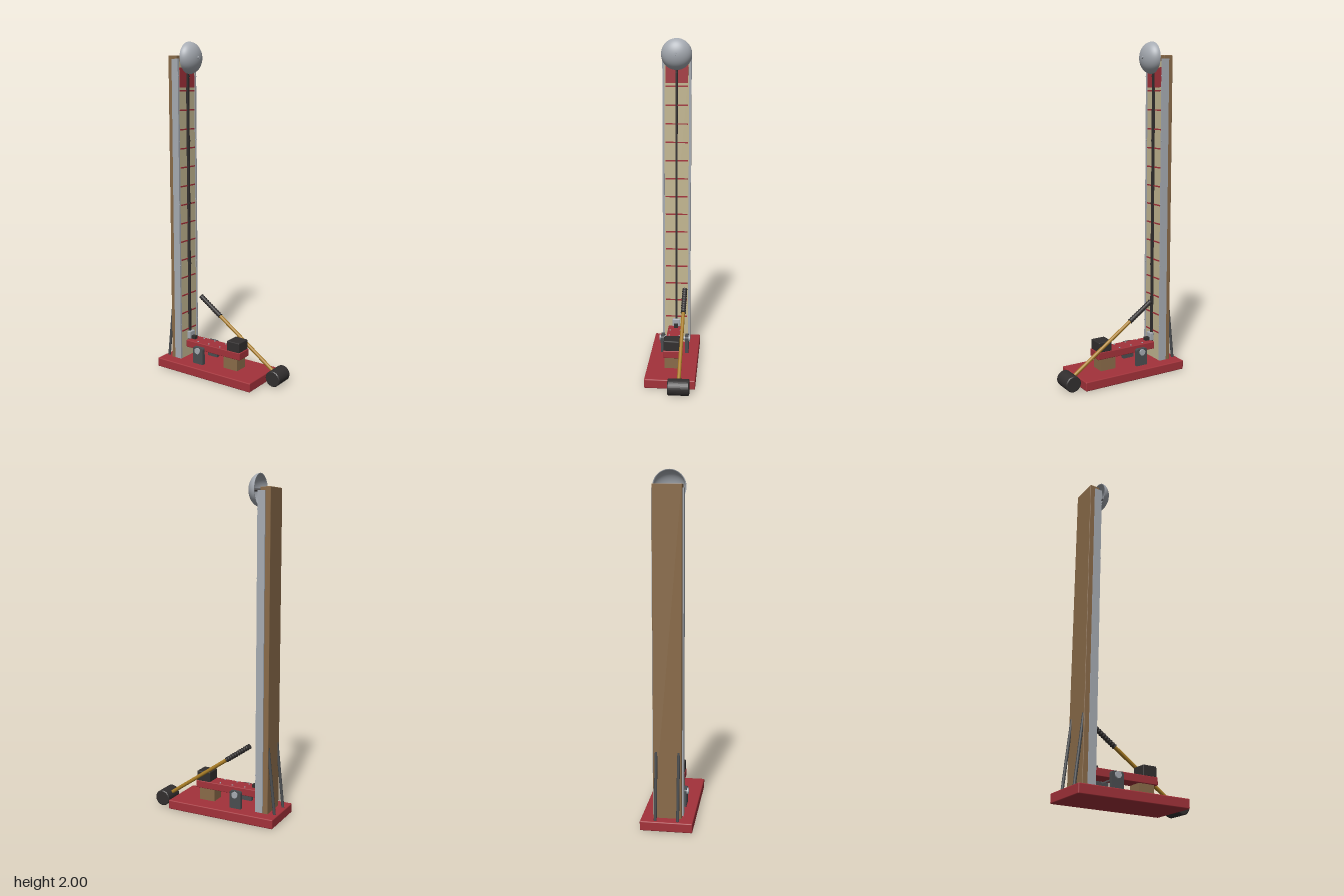
import * as THREE from 'three';
import { RoundedBoxGeometry } from 'three/addons/geometries/RoundedBoxGeometry.js';

const paint = (color, side = THREE.FrontSide) => {
  const m = new THREE.MeshStandardMaterial({ side });
  m.color.set(color);
  return m;
};

export function createModel() {
  const model = new THREE.Group();
  model.name = 'strengthTester';
  const red = paint(0xa3323a), wood = paint(0x8a6b49), cream = paint(0xc4b892);
  const steel = paint(0xa6abb2), bellSteel = paint(0xa6abb2, THREE.DoubleSide);
  const dark = paint(0x322f2f), iron = paint(0x4a4d50), gold = paint(0xa87c26);

  const add = (name, geometry, material, x = 0, y = 0, z = 0, parent = model) => {
    const mesh = new THREE.Mesh(geometry, material);
    mesh.name = name;
    mesh.position.set(x, y, z);
    parent.add(mesh);
    return mesh;
  };
  // Box given by its limits on each axis
  const box = (name, mat, [x0, x1], [y0, y1], [z0, z1], r = 0) => {
    const s = [x1 - x0, y1 - y0, z1 - z0];
    const g = r ? new RoundedBoxGeometry(...s, 2, r) : new THREE.BoxGeometry(...s);
    return add(name, g, mat, (x0 + x1) / 2, (y0 + y1) / 2, (z0 + z1) / 2);
  };
  // Cylinder between two points
  const rod = (name, mat, a, b, r, seg = 20) => {
    const p = new THREE.Vector3(...a), d = new THREE.Vector3(...b).sub(p);
    const mesh = add(name, new THREE.CylinderGeometry(r, r, d.length(), seg), mat);
    mesh.position.copy(p).addScaledVector(d, 0.5);
    mesh.quaternion.setFromUnitVectors(new THREE.Vector3(0, 1, 0), d.normalize());
    return mesh;
  };

  // Base and tower
  box('base', red, [-0.15, 0.15], [0, 0.056], [-0.4, 0.29], 0.006);
  box('towerPost', wood, [-0.081, 0.081], [0.05, 1.92], [-0.34, -0.278], 0.003);
  box('scalePanel', cream, [-0.076, 0.076], [0.056, 1.885], [-0.28, -0.268]);
  box('topPanel', red, [-0.069, 0.069], [1.735, 1.85], [-0.27, -0.264]);
  for (let i = 0; i < 14; i++) {
    const y = 0.235 + i * 0.1139;
    box('scaleMark', red, [-0.069, 0.069], [y - 0.004, y + 0.004], [-0.27, -0.264]);
  }

  // Angled side rails with screws, and rear braces
  for (const s of [-1, 1]) {
    const section = new THREE.Shape();
    [[0.081, 0.31], [0.088, 0.31], [0.088, 0.264], [0.075, 0.264], [0.075, 0.269], [0.081, 0.269]]
      .forEach(([x, z], i) => i ? section.lineTo(s * x, z) : section.moveTo(s * x, z));
    const rail = new THREE.ExtrudeGeometry(section, { depth: 1.84, bevelEnabled: false });
    rail.rotateX(-Math.PI / 2);
    add('sideRail', rail, steel, 0, 0.06, 0);
    for (let i = 0; i < 5; i++) {
      const y = 0.28 + i * 0.38;
      rod('railScrew', steel, [s * 0.081, y, -0.266], [s * 0.081, y, -0.26], 0.004, 10);
    }
    rod('rearBrace', iron, [s * 0.064, 0.45, -0.334], [s * 0.064, 0.05, -0.377], 0.0085, 14);
  }

  // Guide track and sliding puck
  box('guideTrack', dark, [-0.006, 0.006], [0.115, 1.85], [-0.268, -0.253]);
  for (const y of [0.66, 1.04, 1.42, 1.8])
    box('trackClip', dark, [-0.006, 0.006], [y - 0.005, y + 0.005], [-0.255, -0.248]);
  box('puck', steel, [-0.024, 0.024], [0.175, 0.222], [-0.263, -0.238], 0.003);
  box('puckCore', dark, [-0.013, 0.013], [0.165, 0.195], [-0.262, -0.21]);

  // Bell: hollow dome opening to the rear
  const profile = [];
  for (let i = 0; i <= 16; i++) {
    const a = i / 16 * Math.PI / 2;
    profile.push(new THREE.Vector2(0.0935 * Math.cos(a), 0.065 * Math.sin(a)));
  }
  for (let i = 16; i >= 0; i--) {
    const a = i / 16 * Math.PI / 2;
    profile.push(new THREE.Vector2(0.088 * Math.cos(a), 0.06 * Math.sin(a)));
  }
  profile.push(profile[0].clone());
  profile.forEach(p => { p.x = Math.max(0, p.x); });
  add('bell', new THREE.LatheGeometry(profile, 48), bellSteel, 0, 1.9065, -0.246).rotation.x = Math.PI / 2;
  rod('bellSpindle', dark, [0, 1.9065, -0.285], [0, 1.9065, -0.185], 0.008);
  rod('bellNut', steel, [0, 1.9065, -0.185], [0, 1.9065, -0.173], 0.009, 6);

  // Lever, strike pad and support block
  box('lever', red, [-0.05, 0.05], [0.13, 0.175], [-0.25, 0.152], 0.004);
  box('strikePad', dark, [-0.047, 0.047], [0.172, 0.235], [0.057, 0.146], 0.005);
  box('supportBlock', wood, [-0.043, 0.043], [0.05, 0.132], [0.03, 0.13]);
  for (const x of [-0.032, 0.032])
    for (const z of [-0.17, -0.088, -0.006])
      rod('leverBolt', steel, [x, 0.172, z], [x, 0.179, z], 0.005, 12);

  // Pivot brackets with rounded tops, and the axle
  for (const s of [-1, 1]) {
    const plate = new THREE.Shape();
    plate.moveTo(-0.037, 0.05);
    plate.lineTo(0.037, 0.05);
    plate.lineTo(0.037, 0.148);
    plate.quadraticCurveTo(0.037, 0.162, 0.023, 0.162);
    plate.lineTo(-0.023, 0.162);
    plate.quadraticCurveTo(-0.037, 0.162, -0.037, 0.148);
    const g = new THREE.ExtrudeGeometry(plate, { depth: 0.022, bevelEnabled: false });
    g.translate(0, 0, -0.011);
    add('pivotBracket', g, iron, s * 0.0765, 0, -0.132).rotation.y = Math.PI / 2;
    rod('axleCap', steel, [s * 0.08, 0.141, -0.132], [s * 0.097, 0.141, -0.132], 0.019, 24);
  }
  rod('pivotAxle', steel, [-0.085, 0.141, -0.132], [0.085, 0.141, -0.132], 0.014, 24);

  // Mallet leaning across the lever
  const at = z => [0.057, 0.048 + (0.355 - z) * 0.692, z];
  const headProfile = [[0, -0.0625], [0.043, -0.0625], [0.0475, -0.058], [0.0475, 0.058], [0.043, 0.0625], [0, 0.0625]];
  const head = new THREE.LatheGeometry(headProfile.map(p => new THREE.Vector2(...p)), 36);
  const headMat = dark.clone();
  headMat.flatShading = true;
  add('malletHead', head, headMat, 0.0575, 0.0475, 0.354).rotation.z = Math.PI / 2;
  rod('malletHandle', gold, at(0.35), at(-0.2), 0.011);
  // Ribbed grip
  const start = new THREE.Vector3(...at(-0.064)), end = new THREE.Vector3(...at(-0.212));
  const dir = end.clone().sub(start), length = dir.length();
  const ribs = [new THREE.Vector2(0, 0)];
  for (let i = 0; i <= 40; i++)
    ribs.push(new THREE.Vector2(0.0145 + 0.0018 * Math.cos(i * Math.PI / 2), i / 40 * length));
  ribs.push(new THREE.Vector2(0, length));
  const grip = add('malletGrip', new THREE.LatheGeometry(ribs, 20), dark);
  grip.position.copy(start);
  grip.quaternion.setFromUnitVectors(new THREE.Vector3(0, 1, 0), dir.normalize());

  return model;
}
